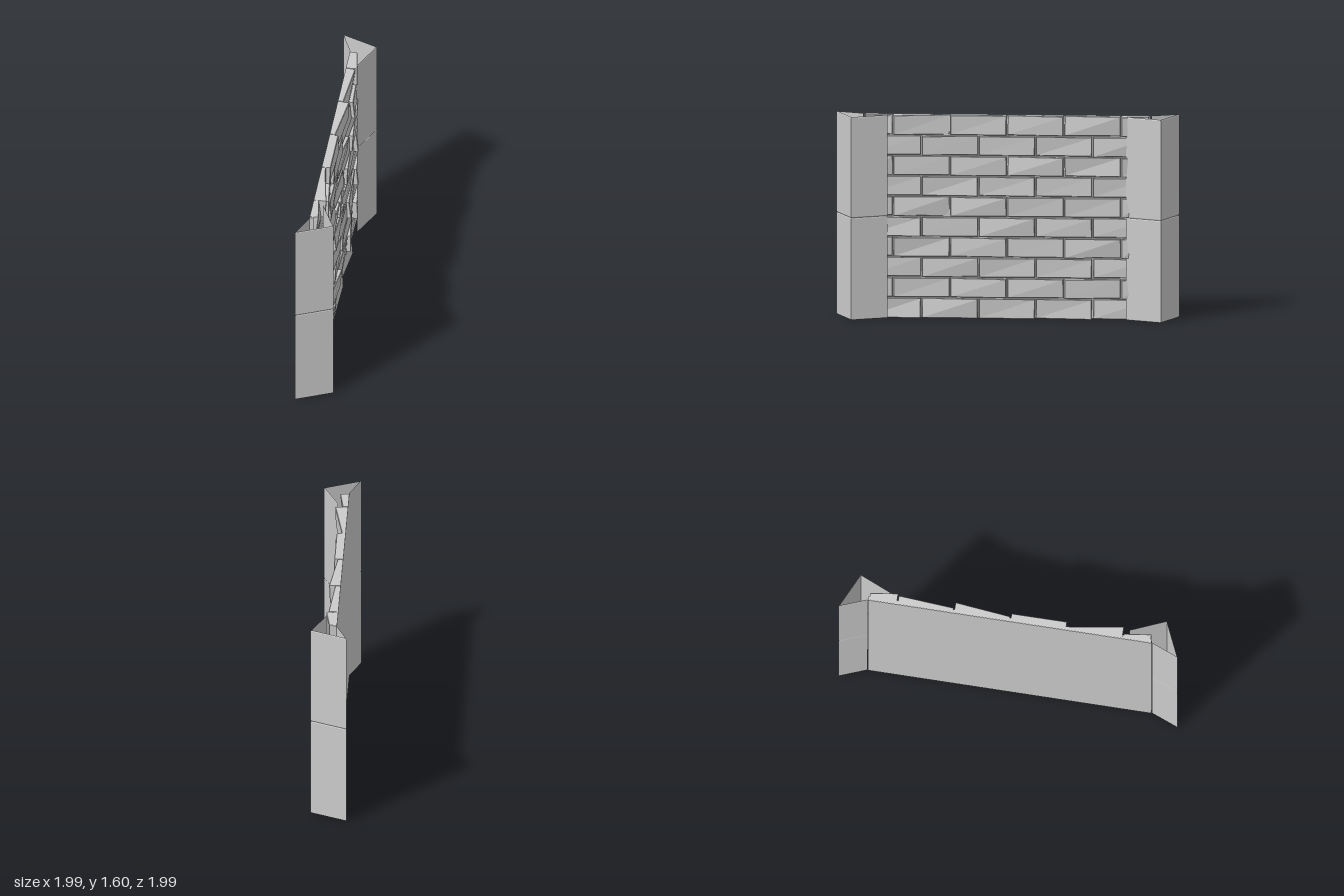
import * as THREE from 'three';

const material = new THREE.MeshStandardMaterial({ color: 0xcccccc, flatShading: true, side: THREE.DoubleSide });
const HALF = 1.107, HEIGHT = 1.595, ROWS = 10;
const PITCH = HALF * 2 / 5, ROW = HEIGHT / ROWS;

// Front depth (in hundredths) at the left and right end of each brick, bottom row first
const depths = [
  [6, 7, 5, 7.5, 7, 7, 5, 8, 4.5, 6],
  [6, 5, 8, 6, 5.5, 9, 7, 7, 10, 5, 9, 6],
  [6, 4, 7.5, 4.5, 7.5, 5, 7, 7.5, 4.5, 6],
  [6, 5, 8, 6, 5, 8.5, 6.5, 7, 9.5, 6, 9, 6],
  [6, 8.5, 7, 6, 7.5, 7.5, 6, 7.5, 5.5, 6],
  [6, 5, 8, 3.5, 7, 7, 8.5, 5, 7.5, 6, 9, 6],
  [6, 3.5, 7, 7.5, 5, 7.5, 5, 6, 8.5, 6],
  [6, 4.5, 7, 4.5, 7, 6.5, 4.5, 8, 5, 6.5, 9, 6],
  [6, 5, 8.5, 4, 6.5, 7, 5.5, 7, 9.5, 6],
  [6, 5, 9.5, 3, 6.5, 7, 4.5, 8.5, 5, 6.5, 9, 6],
];

function seeded(seed) {
  return () => (seed = (seed * 16807) % 2147483647) / 2147483647;
}

// Box whose front face is tilted and slightly chamfered inwards
function brick(x0, x1, y0, y1, left, right, twist) {
  const geo = new THREE.BoxGeometry(x1 - x0, y1 - y0, 1, 1, 1, 2);
  geo.translate((x0 + x1) / 2, (y0 + y1) / 2, 0.5);
  const p = geo.attributes.position, cx = (x0 + x1) / 2, cy = (y0 + y1) / 2, c = 0.004;
  for (let i = 0; i < p.count; i++) {
    const sx = Math.sign(p.getX(i) - cx), sy = Math.sign(p.getY(i) - cy), z = p.getZ(i);
    const front = (sx < 0 ? left : right) + sx * sy * twist;
    if (z > 0.9) p.setXYZ(i, p.getX(i) - sx * c, p.getY(i) - sy * c, front);
    else if (z > 0.1) p.setZ(i, front - c);
  }
  geo.computeVertexNormals();
  const mesh = new THREE.Mesh(geo, material);
  mesh.name = 'brick';
  return mesh;
}

// Open-ended corner pillar: two stacked blocks with chamfered rims
function pillar(side) {
  const plan = [[-1.117, 0], [-1.33, -0.085], [-1.202, 0.198], [-0.926, 0.078]];
  const mid = HEIGHT / 2 + 0.005, b = 0.007;
  const rings = [[0, 1], [b, 0], [mid - b, 0], [mid, 1], [mid + b, 0], [HEIGHT - b, 0], [HEIGHT, 1]];
  const pos = [], index = [];
  for (const [y, inset] of rings) {
    for (const [x, z] of plan) {
      const k = inset * 0.03;
      pos.push(-side * (x + (-1.13 - x) * k), y, z + (0.05 - z) * k);
    }
  }
  const n = plan.length;
  for (let r = 0; r < rings.length - 1; r++) {
    for (let i = 0; i < n - 1; i++) {
      const a = r * n + i, d = a + n;
      if (side < 0) index.push(a, a + 1, d + 1, a, d + 1, d);
      else index.push(a, d + 1, a + 1, a, d, d + 1);
    }
  }
  const geo = new THREE.BufferGeometry();
  geo.setAttribute('position', new THREE.Float32BufferAttribute(pos, 3));
  geo.setIndex(index);
  const flat = geo.toNonIndexed();
  flat.computeVertexNormals();
  const mesh = new THREE.Mesh(flat, material);
  mesh.name = side > 0 ? 'leftPillar' : 'rightPillar';
  return mesh;
}

export function createModel() {
  const model = new THREE.Group();
  model.name = 'brickWall';

  // Wall stands diagonally; local x runs along it, local z faces out of the bricks
  const wall = new THREE.Group();
  wall.name = 'wall';
  wall.rotation.y = Math.PI / 4;
  model.add(wall);

  // Mortar core with a flat back
  const mortar = new THREE.Mesh(new THREE.BoxGeometry(HALF * 2 + 0.01, HEIGHT - 0.006, 0.032), material);
  mortar.position.set(0, HEIGHT / 2, 0.014);
  mortar.name = 'mortar';
  wall.add(mortar);

  // Running-bond courses; every other row begins and ends with a half brick
  const rand = seeded(7), gap = 0.005;
  const bricks = new THREE.Group();
  bricks.name = 'bricks';
  depths.forEach((row, r) => {
    const shift = r % 2 ? PITCH / 2 : 0;
    for (let i = 0; i < row.length / 2; i++) {
      const x0 = Math.max(-HALF, -HALF - shift + i * PITCH);
      const x1 = Math.min(HALF, -HALF - shift + (i + 1) * PITCH);
      bricks.add(brick(x0 + gap, x1 - gap, r * ROW + (r ? gap : 0), (r + 1) * ROW - (r < ROWS - 1 ? gap : 0),
        row[2 * i] / 100, row[2 * i + 1] / 100, (rand() - 0.5) * 0.02));
    }
  });
  wall.add(bricks);

  // Corner pillars at both ends
  for (const side of [-1, 1]) wall.add(pillar(side));
  return model;
}
